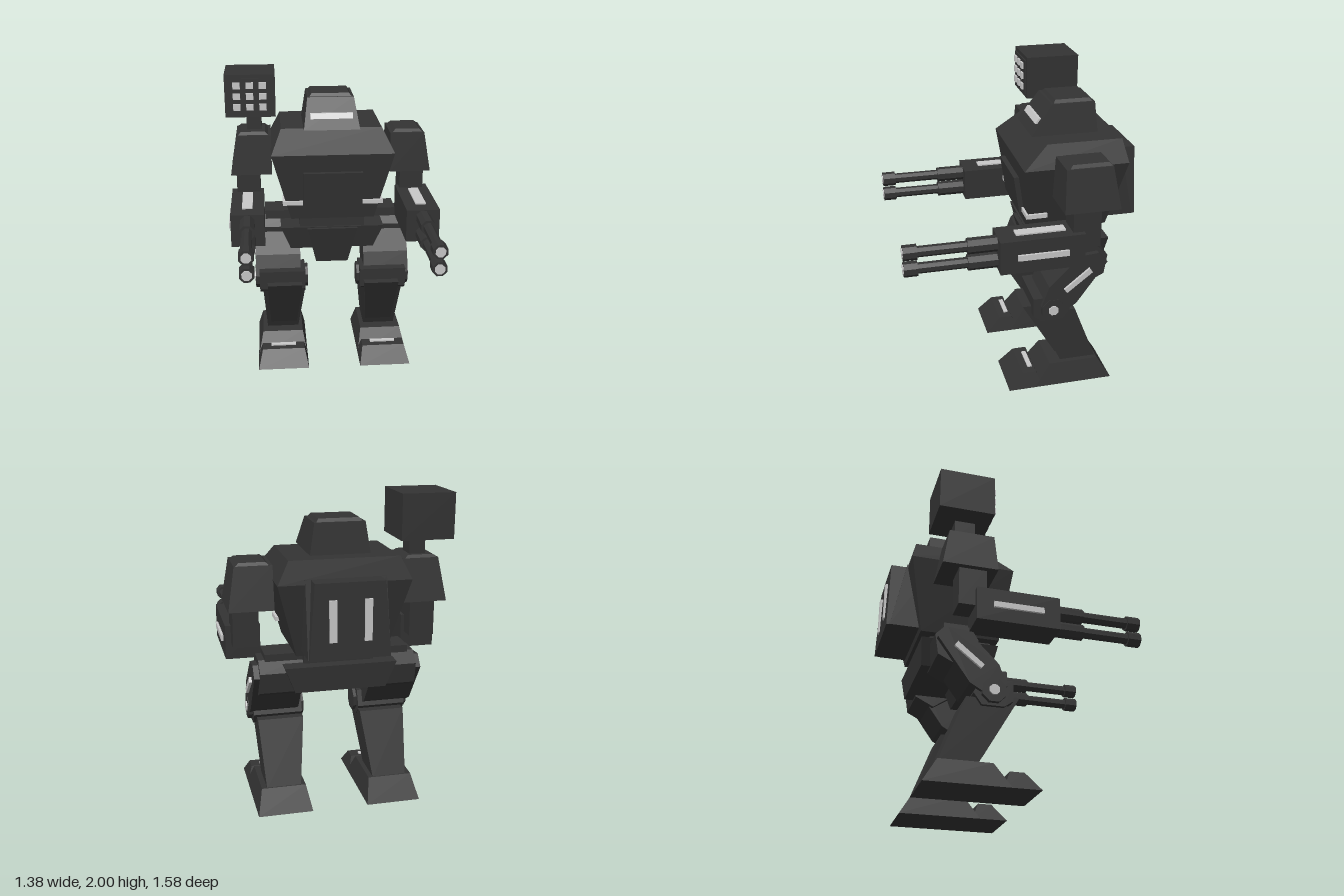
import * as THREE from 'three';

const dark = new THREE.MeshStandardMaterial({ color: 0x333333 });
dark.name = 'charcoal armour';
const light = new THREE.MeshStandardMaterial({ color: 0xc8c8c8 });
light.name = 'pale lights';

export function createModel() {
  const model = new THREE.Group();
  model.name = 'walkerRobot';

  const add = (name, geometry, material = dark, parent = model) => {
    const mesh = new THREE.Mesh(geometry, material);
    mesh.name = name;
    parent.add(mesh);
    return mesh;
  };

  // Tapered block between two rectangles, each [y, x0, x1, z0, z1]; s = -1 mirrors it in x
  const taper = (low, high, s = 1) => {
    const g = new THREE.BoxGeometry(1, 1, 1);
    const p = g.attributes.position;
    for (let i = 0; i < p.count; i++) {
      const [y, x0, x1, z0, z1] = p.getY(i) < 0 ? low : high;
      const [a, b] = s > 0 ? [x0, x1] : [-x1, -x0];
      p.setXYZ(i, p.getX(i) < 0 ? a : b, y, p.getZ(i) < 0 ? z0 : z1);
    }
    g.computeVertexNormals();
    return g;
  };
  const block = (x0, x1, y0, y1, z0, z1, s = 1) => taper([y0, x0, x1, z0, z1], [y1, x0, x1, z0, z1], s);

  // Side profile of [z, y] points, extruded across x
  const prism = (x0, x1, points, s = 1) => {
    const shape = new THREE.Shape(points.map(([z, y]) => new THREE.Vector2(z, y)));
    const g = new THREE.ExtrudeGeometry(shape, { depth: x1 - x0, bevelEnabled: false });
    g.rotateY(-Math.PI / 2);
    return g.translate(s > 0 ? x1 : -x0, 0, 0);
  };

  // Flat-sided rod along z or x
  const rod = (r, a, b, sides, axis, u, v) => {
    const g = new THREE.CylinderGeometry(r, r, Math.abs(b - a), sides).toNonIndexed();
    g.rotateY(Math.PI / sides);
    g.computeVertexNormals();
    const mid = (a + b) / 2;
    return axis === 'z'
      ? g.rotateX(Math.PI / 2).translate(u, v, mid)
      : g.rotateZ(Math.PI / 2).translate(mid, u, v);
  };

  // Torso
  const chest = [1.51, -0.405, 0.405, -0.665, 0.005];
  add('lowerTorso', taper([1.05, -0.28, 0.28, -0.57, -0.06], chest));
  add('upperTorso', taper(chest, [1.65, -0.335, 0.335, -0.635, -0.155]));
  add('chestPlate', taper([1.145, -0.195, 0.195, -0.1, -0.015], [1.39, -0.195, 0.195, -0.1, 0.022]));
  for (const s of [1, -1]) add('torsoLight', block(0.2, 0.335, 1.157, 1.185, -0.165, -0.027, s), light);

  // Head
  add('head', taper([1.65, -0.185, 0.185, -0.525, -0.095], [1.84, -0.155, 0.155, -0.51, -0.23]));
  add('headCap', taper([1.84, -0.14, 0.14, -0.495, -0.245], [1.86, -0.125, 0.125, -0.48, -0.26]));
  add('visor', taper([1.717, -0.14, 0.14, -0.17, -0.128], [1.75, -0.14, 0.14, -0.19, -0.15]), light);

  // Backpack with two vents
  add('backpack', taper([1.085, -0.245, 0.245, -0.5, -0.4].with(3, -0.785), [1.54, -0.21, 0.21, -0.77, -0.5]));
  add('backpackBase', taper([1.085, -0.25, 0.25, -0.765, -0.45], [1.54, -0.245, 0.245, -0.67, -0.5]));
  for (const s of [1, -1]) add('backVent', block(0.083, 0.128, 1.19, 1.44, -0.79, -0.76, s), light);

  // Waist and pelvis
  add('waist', block(-0.22, 0.22, 0.95, 1.06, -0.5, -0.1));
  add('pelvis', taper([0.81, -0.285, 0.285, -0.56, -0.12], [0.975, -0.35, 0.35, -0.575, -0.085]));
  add('groinPlate', taper([0.7, -0.11, 0.11, -0.28, -0.13], [0.97, -0.17, 0.17, -0.36, -0.06]));
  add('hipBar', block(-0.455, 0.455, 0.975, 1.035, -0.46, -0.27));

  for (const s of [1, -1]) {
    // Leg
    const leg = new THREE.Group();
    leg.name = s > 0 ? 'leftLeg' : 'rightLeg';
    model.add(leg);
    const hip = [[-0.3, 1.0], [-0.45, 1.0], [-0.52, 0.93], [-0.5, 0.8], [-0.38, 0.74], [-0.26, 0.82], [-0.25, 0.92]];
    add('hip', prism(0.19, 0.495, hip.reverse(), s), dark, leg);
    const thigh = [[-0.08, 0.62], [-0.24, 0.58], [-0.31, 0.62], [-0.51, 0.9], [-0.45, 0.97], [-0.33, 0.96], [-0.13, 0.76]];
    add('thigh', prism(0.22, 0.53, thigh, s), dark, leg);
    const strip = [[-0.225, 0.74], [-0.245, 0.715], [-0.41, 0.845], [-0.39, 0.875]];
    add('thighLight', prism(0.52, 0.547, strip, s), light, leg);
    const knee = [[-0.035, 0.54], [-0.09, 0.5], [-0.23, 0.5], [-0.28, 0.57], [-0.24, 0.67], [-0.035, 0.67]];
    add('knee', prism(0.19, 0.505, knee, s), dark, leg);
    add('kneeDisc', rod(0.08, s * 0.17, s * 0.533, 8, 'x', 0.59, -0.16), dark, leg);
    add('kneeLight', rod(0.034, s * 0.52, s * 0.542, 8, 'x', 0.59, -0.16), light, leg);
    add('shin', taper([0.14, 0.24, 0.46, -0.48, -0.24], [0.55, 0.19, 0.485, -0.32, -0.05], s), dark, leg);
    add('shinPlate', taper([0.2, 0.25, 0.435, -0.3, -0.205], [0.59, 0.215, 0.452, -0.12, 0.022], s), dark, leg);
    add('foot', taper([0, 0.18, 0.53, -0.575, -0.05], [0.148, 0.21, 0.495, -0.485, -0.155], s), dark, leg);
    add('toe', taper([0, 0.18, 0.53, -0.1, 0.128], [0.105, 0.205, 0.5, -0.06, 0.03], s), dark, leg);
    add('toeLight', block(0.265, 0.44, 0.1, 0.114, -0.046, -0.016, s), light, leg);

    // Arm
    const arm = new THREE.Group();
    arm.name = s > 0 ? 'leftArm' : 'rightArm';
    model.add(arm);
    add('shoulder', taper([1.33, 0.4, 0.675, -0.525, -0.175], [1.595, 0.4, 0.63, -0.478, -0.19], s), dark, arm);
    add('shoulderCap', taper([1.595, 0.42, 0.62, -0.475, -0.215], [1.613, 0.44, 0.6, -0.46, -0.235], s), dark, arm);
    add('upperArm', block(0.48, 0.64, 1.08, 1.35, -0.415, -0.24, s), dark, arm);
    add('forearm', block(0.458, 0.675, 0.975, 1.19, -0.31, 0.218, s), dark, arm);
    add('forearmTopLight', block(0.533, 0.602, 1.18, 1.199, -0.205, 0.107, s), light, arm);
    add('forearmSideLight', block(0.66, 0.69, 1.063, 1.1, -0.205, 0.112, s), light, arm);

    // Twin guns
    for (const y of [1.14, 1.03]) {
      const x = s * 0.567;
      add('gunHousing', rod(0.05, 0.2, 0.4, 8, 'z', x, y), dark, arm);
      add('gunBarrel', rod(0.034, 0.39, 0.71, 8, 'z', x, y), dark, arm);
      add('gunMuzzle', rod(0.048, 0.7, 0.785, 8, 'z', x, y), dark, arm);
      add('muzzleLight', rod(0.033, 0.78, 0.79, 8, 'z', x, y), light, arm);
    }
  }

  // Launcher pod on the right shoulder
  const pod = new THREE.Group();
  pod.name = 'launcherPod';
  model.add(pod);
  add('podStem', block(-0.56, -0.46, 1.59, 1.73, -0.43, -0.3), dark, pod);
  add('podBox', block(-0.695, -0.365, 1.72, 2, -0.56, -0.205), dark, pod);
  add('podFace', block(-0.67, -0.39, 1.745, 1.975, -0.22, -0.196), dark, pod);
  for (const x of [-0.617, -0.532, -0.447]) {
    for (const y of [1.932, 1.861, 1.79]) {
      add('podTube', block(x - 0.024, x + 0.024, y - 0.021, y + 0.021, -0.2, -0.183), light, pod);
    }
  }
  return model;
}
